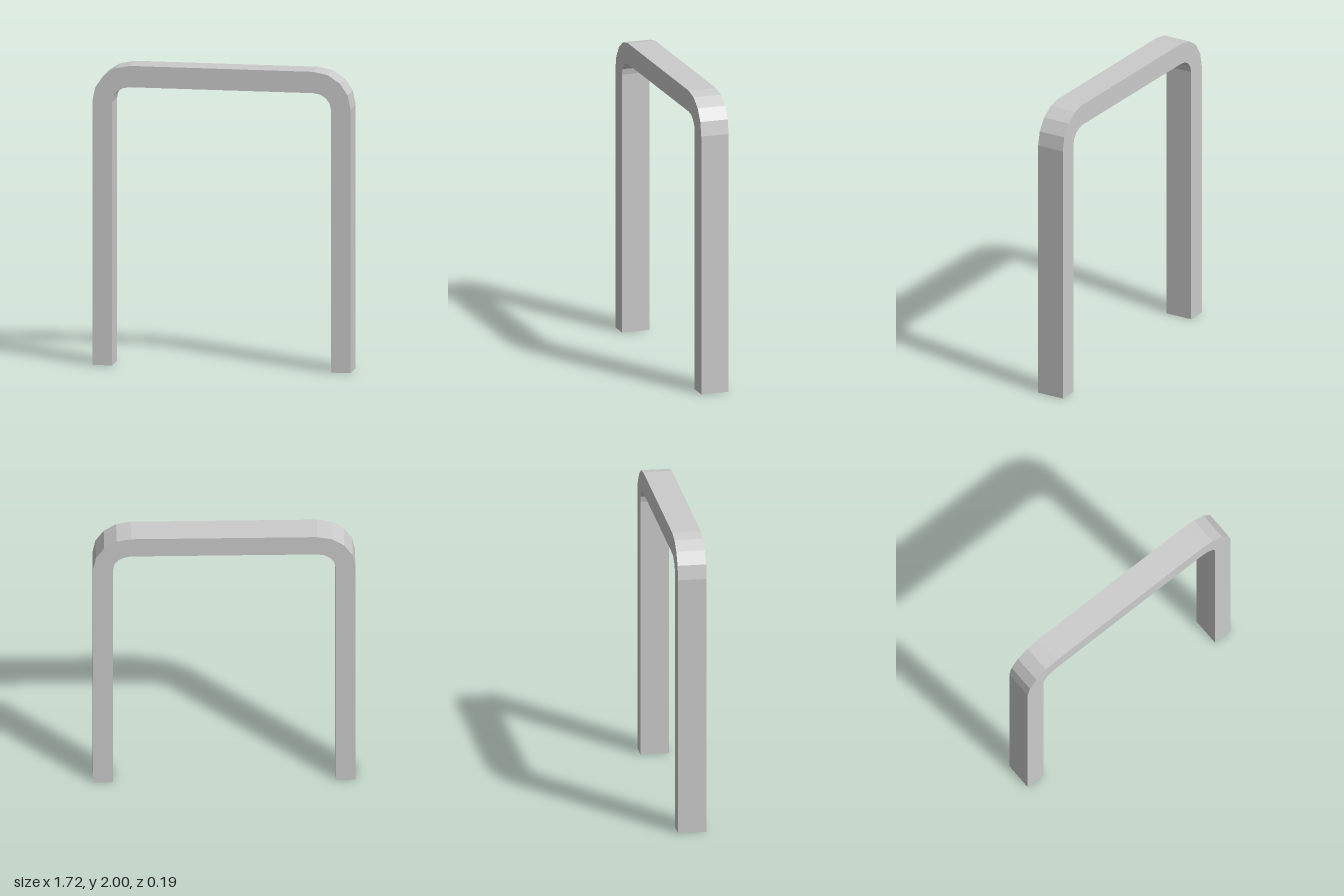
import * as THREE from 'three';

const CENTRE_X = 0.61, CENTRE_Y = 1.755; // centre of each corner bend
const STEPS = 4;                         // facets per bend
const DEPTH = 0.19;

// Points of one half-outline (foot, bend, top) on the side given by sign
function bend(sign, rx, ry) {
  const points = [new THREE.Vector2(sign * (CENTRE_X + rx), 0)];
  for (let i = 0; i <= STEPS; i++) {
    const a = (i / STEPS) * Math.PI / 2;
    points.push(new THREE.Vector2(
      sign * (CENTRE_X + rx * Math.cos(a)), CENTRE_Y + ry * Math.sin(a)));
  }
  return points;
}

// Full arch line from the right foot over the top to the left foot
const arch = (rx, ry) => [...bend(-1, rx, ry), ...bend(1, rx, ry).reverse()];

export function createModel() {
  const group = new THREE.Group();
  group.name = 'archFrame';

  // Flat bar bent into two legs and a crossbar
  const outline = [...arch(0.25, 0.245), ...arch(0.118, 0.103).reverse()];
  const geometry = new THREE.ExtrudeGeometry(new THREE.Shape(outline), {
    depth: DEPTH, bevelEnabled: false,
  });
  geometry.translate(0, 0, -DEPTH / 2);

  const bar = new THREE.Mesh(geometry, new THREE.MeshStandardMaterial({
    color: 0xcccccc, flatShading: true,
  }));
  bar.name = 'bentBar';
  group.add(bar);
  return group;
}
